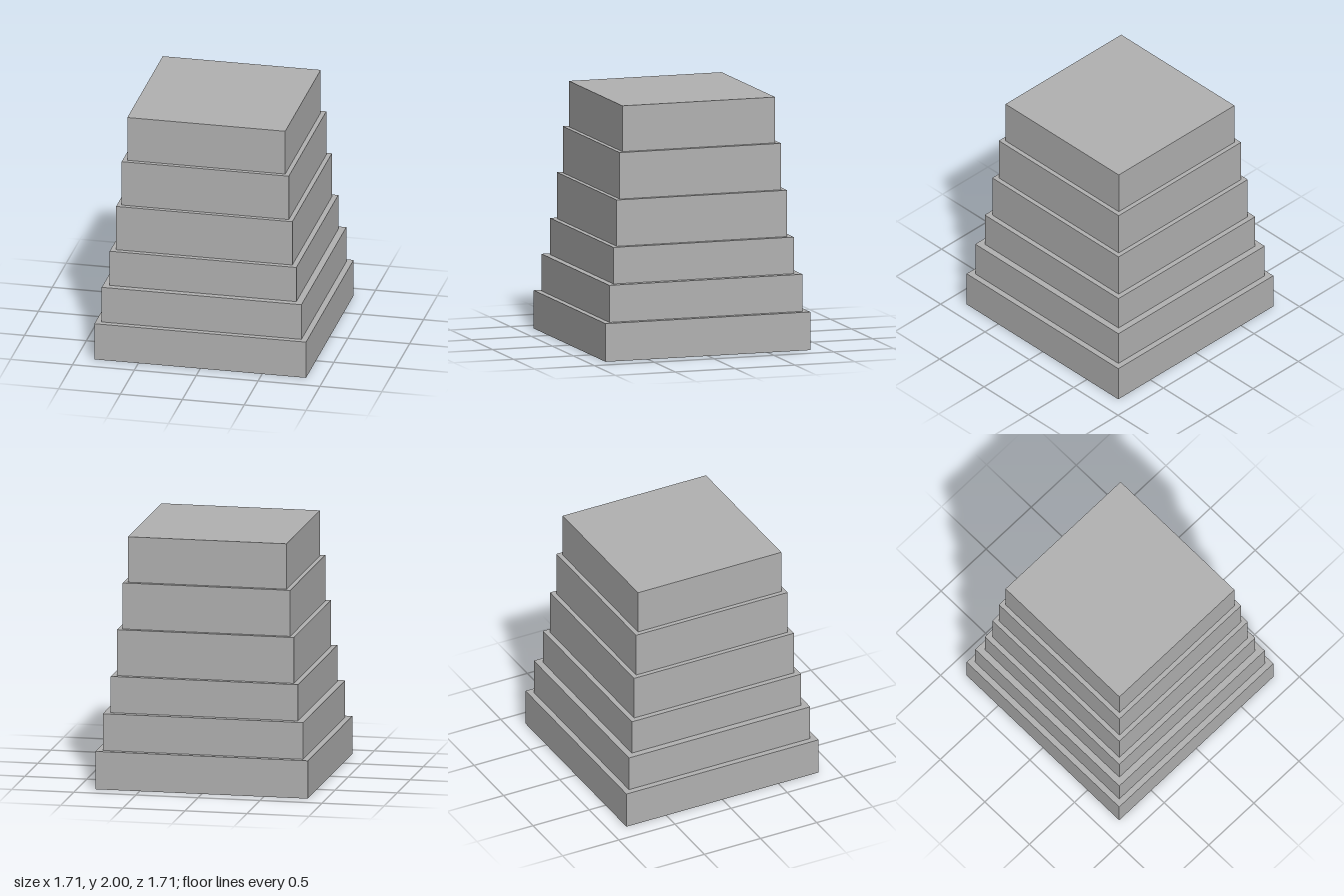
import * as THREE from 'three';

export function createModel() {
  const model = new THREE.Group();
  model.name = 'steppedTower';
  const stone = new THREE.MeshStandardMaterial({ color: 0xb0b0b0 });
  stone.name = 'grey stone';

  // Square tiers from the ground up: [half width, top height]
  const tiers = [
    [0.855, 0.305],
    [0.807, 0.601],
    [0.754, 0.893],
    [0.712, 1.263],
    [0.675, 1.634],
    [0.638, 2.0],
  ];

  let bottom = 0;
  tiers.forEach(([half, top], i) => {
    const height = top - bottom;
    const tier = new THREE.Mesh(new THREE.BoxGeometry(half * 2, height, half * 2), stone);
    tier.name = `tier${i + 1}`;
    tier.position.y = bottom + height / 2;
    model.add(tier);
    bottom = top;
  });

  return model;
}
